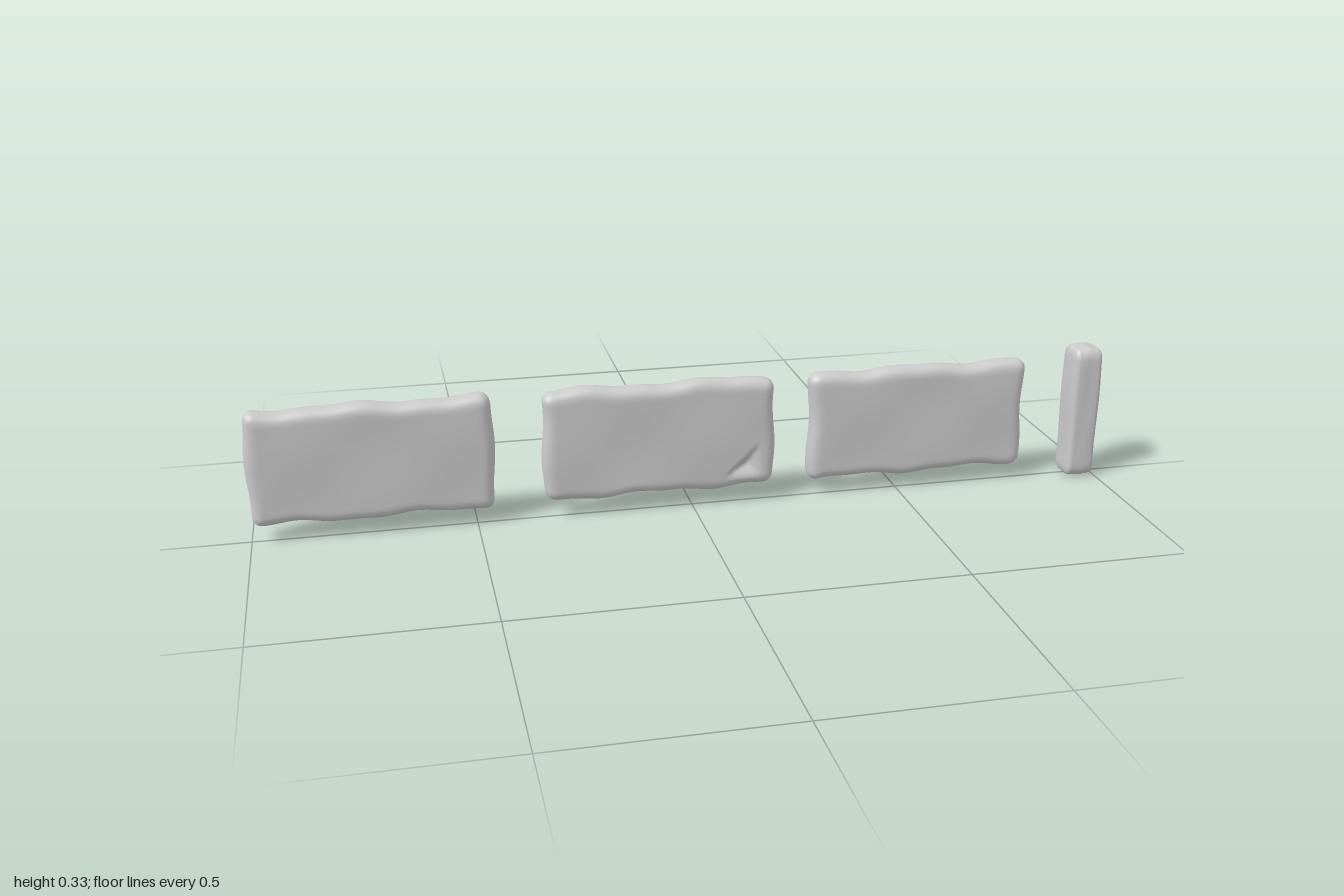
import * as THREE from 'three';
import { mergeVertices } from 'three/addons/utils/BufferGeometryUtils.js';

const EDGE = 3; // segments spent on each rounded edge

// Places an even grid step t (0..1) so that the outer EDGE steps fall inside the rounding radius
function spread(t, segs, half, r) {
  const i = Math.round(t * segs);
  if (i <= EDGE) return -half + (r * i) / EDGE;
  if (i >= segs - EDGE) return half - (r * (segs - i)) / EDGE;
  return -half + r + ((i - EDGE) / (segs - 2 * EDGE)) * 2 * (half - r);
}

// Rounded, slightly uneven clay-like block given by its bounds [min, max] per axis
function roughBlock({ name, x, y, z, radius, segs, seed, wobble, dents = [] }) {
  const lo = [x[0], y[0], z[0]], hi = [x[1], y[1], z[1]];
  const half = lo.map((v, i) => (hi[i] - v) / 2);
  const mid = lo.map((v, i) => (hi[i] + v) / 2);
  let geo = new THREE.BoxGeometry(1, 1, 1, ...segs);
  geo.deleteAttribute('uv');
  geo.deleteAttribute('normal');
  geo = mergeVertices(geo, 1e-5);
  const pos = geo.attributes.position;
  const p = new THREE.Vector3();
  for (let v = 0; v < pos.count; v++) {
    p.fromBufferAttribute(pos, v);
    const cell = p.toArray().map((c, i) => spread(c + 0.5, segs[i], half[i], radius[i]));
    // Round the edges and corners
    const core = cell.map((c, i) => THREE.MathUtils.clamp(c, radius[i] - half[i], half[i] - radius[i]));
    const d = new THREE.Vector3(...cell.map((c, i) => (c - core[i]) / radius[i])).normalize().toArray();
    const q = core.map((c, i) => c + d[i] * radius[i]);
    const [u, w, s] = q.map((c, i) => c / half[i]);
    // Wavy outline and gently uneven faces
    const front = d[2] > 0 ? 1 : 2;
    q[0] += wobble * u * Math.sin(w * 4 + seed) * 0.8;
    q[1] += wobble * w * (Math.sin(u * 6 + seed * 2) + 0.5 * Math.sin(u * 13 + seed + w));
    q[2] += wobble * 0.45 * s * Math.sin(u * 5 + seed * front) * Math.cos(w * 3 + seed + front);
    for (let i = 0; i < 3; i++) q[i] += mid[i];
    // Dents are tapered hollows pressed into one face
    for (const { at, size, depth, side } of dents) {
      if (d[2] * side < 0.5) continue;
      const a = (q[0] - at[0]) / size[0], b = (q[1] - at[1]) / size[1];
      const edge = Math.max(-b, a, b - a) + 0.15; // triangle with its upright side on the +x side
      q[2] -= side * depth * THREE.MathUtils.clamp(1.15 - edge, 0, 1);
    }
    pos.setXYZ(v, ...q);
  }
  geo.computeVertexNormals();
  const mesh = new THREE.Mesh(geo, new THREE.MeshStandardMaterial({ color: 0xcccccc, roughness: 0.9 }));
  mesh.name = name;
  return mesh;
}

export function createModel() {
  const group = new THREE.Group();
  group.name = 'plankSet';
  const plank = { radius: [0.025, 0.024, 0.025], segs: [60, 34, 8], wobble: 0.004 };

  // Three flat planks in a row
  group.add(roughBlock({ ...plank, name: 'rightPlank', seed: 1.2,
    x: [-0.998, -0.456], y: [0.037, 0.303], z: [-0.039, 0.02] }));
  group.add(roughBlock({ ...plank, name: 'middlePlank', seed: 2.6,
    x: [-0.345, 0.195], y: [0.04, 0.302], z: [-0.035, 0.022],
    dents: [{ at: [0.128, 0.095], size: [0.028, 0.026], depth: 0.018, side: 1 }] }));
  group.add(roughBlock({ ...plank, name: 'leftPlank', seed: 4.1,
    x: [0.283, 0.813], y: [0.036, 0.298], z: [-0.04, 0.016],
    dents: [{ at: [0.55, 0.165], size: [0.035, 0.028], depth: 0.009, side: -1 }] }));

  // Short upright post at the end
  group.add(roughBlock({ name: 'post', seed: 0.6, wobble: 0.0015,
    x: [0.926, 0.999], y: [0.001, 0.324], z: [-0.039, 0.041],
    radius: [0.014, 0.028, 0.02], segs: [10, 24, 10] }));
  return group;
}
